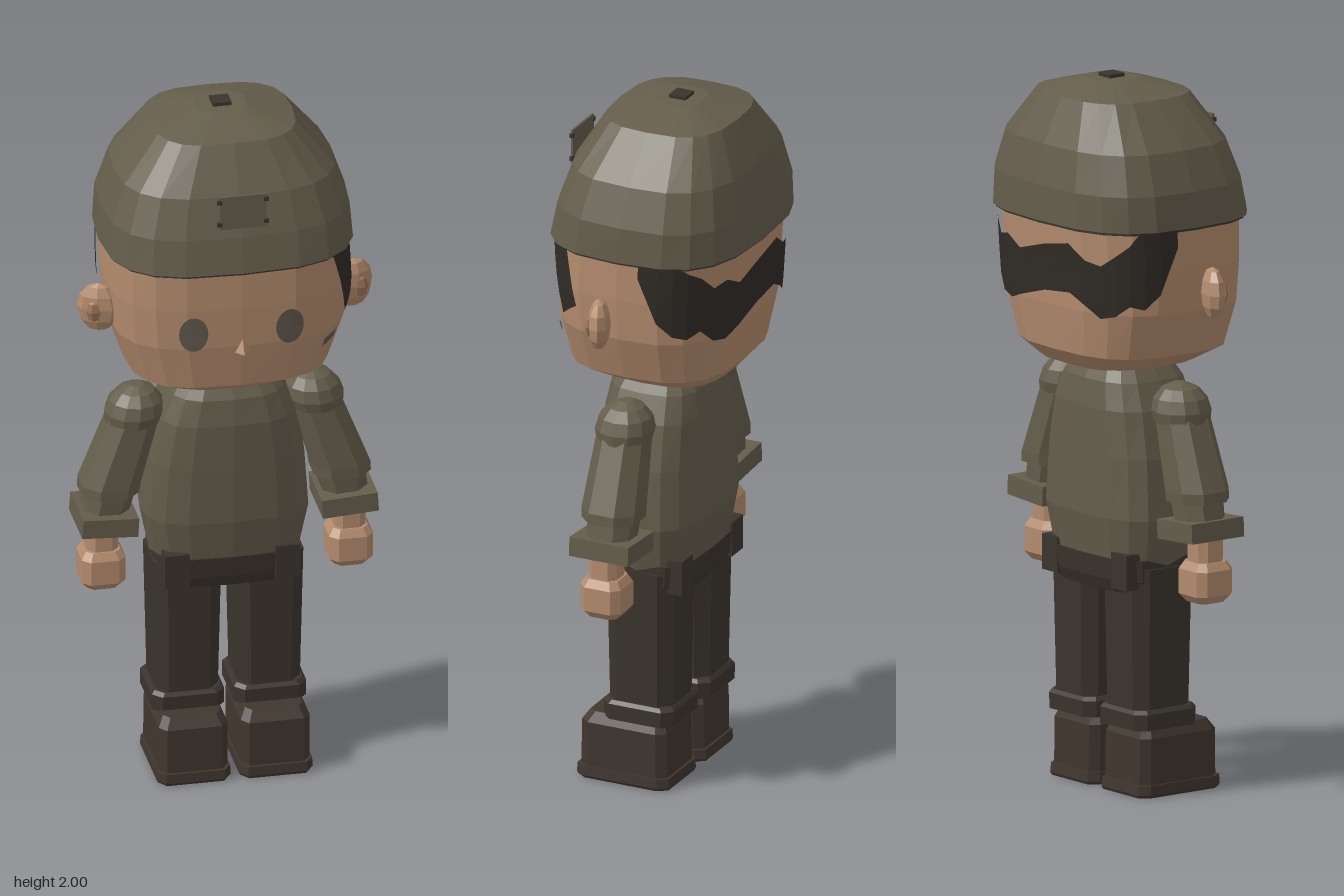
import * as THREE from 'three';

const mat = (name, color) => Object.assign(new THREE.MeshStandardMaterial({ color, flatShading: true }), { name });

// Point on a rounded-square ring at angle a (0 = front, 90 degrees = +x)
const bend = (v, n) => Math.sign(v) * Math.abs(v) ** (2 / n);
function ringPoint([y, rx, rz, cx = 0, cz = 0], a, n, off = 0) {
  return [cx + (rx + off) * bend(Math.sin(a), n), y, cz + (rz + off) * bend(Math.cos(a), n)];
}

function geometryFrom(points, index) {
  const g = new THREE.BufferGeometry();
  g.setAttribute('position', new THREE.Float32BufferAttribute(points.flat(), 3));
  g.setIndex(index);
  const flat = g.toNonIndexed();
  flat.computeVertexNormals();
  return flat;
}

// Closed body through rings [y, rx, rz, cx, cz], listed bottom to top
function loft(rings, sides, n, phase = 0) {
  const pts = [], idx = [];
  for (const r of rings)
    for (let i = 0; i < sides; i++) pts.push(ringPoint(r, ((i + phase) / sides) * Math.PI * 2, n));
  const last = (rings.length - 1) * sides;
  const ends = [rings[0], rings[rings.length - 1]];
  for (const [y, , , cx = 0, cz = 0] of ends) pts.push([cx, y, cz]);
  const bottom = last + sides, top = bottom + 1;
  for (let i = 0; i < sides; i++) {
    const j = (i + 1) % sides;
    for (let k = 0; k < last; k += sides) idx.push(k + i, k + j, k + sides + j, k + i, k + sides + j, k + sides + i);
    idx.push(bottom, j, i, top, last + i, last + j);
  }
  return geometryFrom(pts, idx);
}

const HEAD = [
  [1.19, 0.12, 0.13, 0, -0.02], [1.205, 0.2, 0.18, 0, -0.015], [1.25, 0.28, 0.235, 0, 0],
  [1.38, 0.325, 0.255, 0, 0], [1.5, 0.335, 0.26, 0, 0], [1.64, 0.335, 0.265, 0, -0.005],
];

// Head ring at any height
function headRing(y) {
  let k = 0;
  while (k < HEAD.length - 2 && y > HEAD[k + 1][0]) k++;
  const t = (y - HEAD[k][0]) / (HEAD[k + 1][0] - HEAD[k][0]);
  return HEAD[k].map((v, i) => v + (HEAD[k + 1][i] - v) * t);
}

// Thin sheet on the head; fn(u, v) gives [angle in degrees, y]
function headPatch(nu, nv, off, fn) {
  const pts = [], idx = [], w = nu + 1;
  for (let j = 0; j <= nv; j++)
    for (let i = 0; i <= nu; i++) {
      const [deg, y] = fn(i / nu, j / nv);
      pts.push(ringPoint(headRing(y), (deg * Math.PI) / 180, 3, off));
      if (i < nu && j < nv) {
        const p = j * w + i;
        idx.push(p, p + 1, p + w + 1, p, p + w + 1, p + w);
      }
    }
  return geometryFrom(pts, idx);
}
const mix = THREE.MathUtils.lerp;

export function createModel() {
  const model = new THREE.Group();
  model.name = 'figure';
  const olive = mat('olive cloth', 0x645d4b);
  const skin = mat('skin', 0xb48c6e);
  const innerSkin = mat('ear shade', 0x9a745a);
  const trouser = mat('dark trousers', 0x3b342d);
  const leather = mat('boot leather', 0x40362e);
  const hair = mat('hair', 0x302b26);
  const eyeGrey = mat('eye grey', 0x615b4e);

  const add = (name, geo, material, x = 0, y = 0, z = 0) => {
    const m = new THREE.Mesh(geo, material);
    m.name = name;
    m.position.set(x, y, z);
    model.add(m);
    return m;
  };
  const box = (name, w, h, d, material, x, y, z) => add(name, new THREE.BoxGeometry(w, h, d), material, x, y, z);

  // Head and neck
  add('head', loft(HEAD, 20, 3), skin);
  add('neck', loft([[1.15, 0.08, 0.08], [1.2, 0.08, 0.08]], 12, 2), skin);
  const nose = add('nose', new THREE.ConeGeometry(0.022, 0.04, 4), skin, 0, 1.39, 0.268);
  nose.scale.z = 1.1;

  // Cap, its lining, top button and front panel
  add('cap', loft([
    [1.62, 0.35, 0.289, 0, -0.006], [1.72, 0.343, 0.277, 0, -0.015], [1.83, 0.305, 0.247, 0, -0.022],
    [1.955, 0.2, 0.18, 0, -0.03], [1.99, 0.07, 0.066, 0, -0.035],
  ], 20, 3), olive);
  add('capLining', loft([[1.612, 0.343, 0.282, 0, -0.006], [1.622, 0.343, 0.282, 0, -0.006]], 20, 3), trouser);
  box('capButton', 0.052, 0.02, 0.05, trouser, 0, 1.99, -0.035);
  box('capPanel', 0.13, 0.1, 0.006, olive, 0, 1.805, 0.268);
  for (const sx of [-1, 1])
    for (const sy of [-1, 1]) box('panelClip', 0.014, 0.012, 0.009, trouser, sx * 0.065, 1.805 + sy * 0.034, 0.268);

  // Ragged hair band round the back, as [top, bottom] heights
  const band = [
    [1.63, 1.58], [1.63, 1.45], [1.63, 1.41], [1.6, 1.4], [1.58, 1.42], [1.54, 1.38], [1.55, 1.37], [1.52, 1.39],
    [1.55, 1.42], [1.57, 1.43], [1.53, 1.4], [1.52, 1.37], [1.55, 1.38], [1.58, 1.41], [1.63, 1.4], [1.63, 1.44], [1.63, 1.57],
  ];
  add('backHair', headPatch(band.length - 1, 4, 0.01, (u, v) => {
    const [hi, lo] = band[Math.round(u * (band.length - 1))];
    return [mix(97, 263, u), mix(lo, hi, v)];
  }), hair);
  // Sideburn and cheek mark on the left side
  add('sideburn', headPatch(4, 4, 0.012, (u, v) =>
    [mix(mix(58, 72, u), mix(40, 63, u), v), mix(mix(1.42, 1.46, u), 1.63, v)]), hair);
  add('cheekMark', headPatch(3, 2, 0.008, (u, v) => [mix(39, 49, u), 1.335 + 0.02 * u + 0.026 * v]), eyeGrey);

  for (const s of [-1, 1]) {
    // Eye: a disc wrapped onto the face
    const eye = new THREE.CircleGeometry(1, 20);
    const p = eye.attributes.position;
    for (let i = 0; i < p.count; i++) {
      const x = 0.135 + p.getX(i) * 0.04, ring = headRing(1.43 + p.getY(i) * 0.053);
      const a = Math.asin((x / ring[1]) ** 1.5);
      const q = ringPoint(ring, a, 3, 0);
      // keep the disc facing forward by flipping its horizontal on the right side
      p.setXYZ(i, q[0], q[1], q[2] + 0.005);
    }
    if (s < 0) {
      for (let i = 0; i < p.count; i++) p.setX(i, -p.getX(i));
      eye.index.array.reverse();
    }
    eye.computeVertexNormals();
    add('eye', eye, eyeGrey);

    // Ear with a hollow
    const ear = add('ear', new THREE.SphereGeometry(1, 8, 6), skin, s * 0.358, 1.432, 0.04);
    ear.scale.set(0.06, 0.073, 0.032);
    ear.rotation.y = s * 0.35;
    const hollow = add('earHollow', new THREE.SphereGeometry(1, 6, 4), innerSkin, s * 0.372, 1.428, 0.058);
    hollow.scale.set(0.024, 0.034, 0.017);

    // Sleeve with domed shoulder, inner sleeve and square cuff
    const arm = (y, r, cx) => [y, r, r, s * cx, 0.012];
    add('sleeve', loft([
      arm(0.85, 0.085, 0.325), arm(0.88, 0.086, 0.322), arm(1.075, 0.074, 0.257),
    ], 8, 2.4, 0.5), olive);
    add('shoulder', loft([
      arm(1.06, 0.078, 0.257), arm(1.09, 0.084, 0.252), arm(1.125, 0.075, 0.248), arm(1.152, 0.052, 0.246), arm(1.167, 0.02, 0.245),
    ], 12, 2), olive);
    add('lowerSleeve', loft([arm(0.78, 0.067, 0.338), arm(0.87, 0.072, 0.318)], 8, 2.4, 0.5), olive);
    const cuff = box('cuff', 0.157, 0.055, 0.18, olive, s * 0.336, 0.772, 0.014);
    cuff.rotation.z = s * 0.06;

    // Wrist and fist
    const hand = (y, rx, rz) => [y, rx, rz, s * 0.347, 0.022];
    add('wrist', loft([hand(0.66, 0.046, 0.045), hand(0.76, 0.044, 0.045)], 8, 3, 0.5), skin);
    add('fist', loft([
      hand(0.568, 0.045, 0.046), hand(0.59, 0.064, 0.064), hand(0.66, 0.064, 0.064), hand(0.682, 0.05, 0.05),
    ], 8, 4, 0.5), skin);

    // Trouser leg and turn-up
    const leg = (y, rx, rz) => [y, rx, rz, s * 0.115, 0.002];
    add('leg', loft([leg(0.2, 0.09, 0.1), leg(0.64, 0.1, 0.108)], 8, 4, 0.5), trouser);
    add('turnUp', loft([leg(0.19, 0.104, 0.108), leg(0.235, 0.104, 0.11), leg(0.245, 0.095, 0.102)], 8, 6, 0.5), trouser);

    // Boot and sole
    const boot = (y, rx, rz, cz) => [y, rx, rz, s * 0.115, cz];
    add('boot', loft([
      boot(0.03, 0.098, 0.134, 0.045), boot(0.165, 0.098, 0.132, 0.045), boot(0.195, 0.082, 0.116, 0.04),
    ], 8, 8, 0.5), leather);
    add('sole', loft([boot(0, 0.101, 0.14, 0.046), boot(0.008, 0.106, 0.144, 0.046), boot(0.035, 0.104, 0.142, 0.046)], 8, 8, 0.5), leather);

    // Raised hip corners at the hem
    for (const z of [-0.1, 0.105]) box('hipCorner', 0.07, 0.1, 0.06, trouser, s * 0.155, 0.635, z);
  }

  // Shirt and hips
  add('shirt', loft([
    [0.645, 0.208, 0.128], [0.78, 0.235, 0.15], [0.95, 0.222, 0.15, 0, 0.004], [1.08, 0.195, 0.148, 0, 0.006],
    [1.155, 0.162, 0.135, 0, 0.006], [1.19, 0.138, 0.115, 0, 0.004],
  ], 16, 3), olive);
  add('hips', loft([[0.57, 0.18, 0.115], [0.605, 0.208, 0.13], [0.665, 0.208, 0.136]], 16, 4), trouser);

  return model;
}
